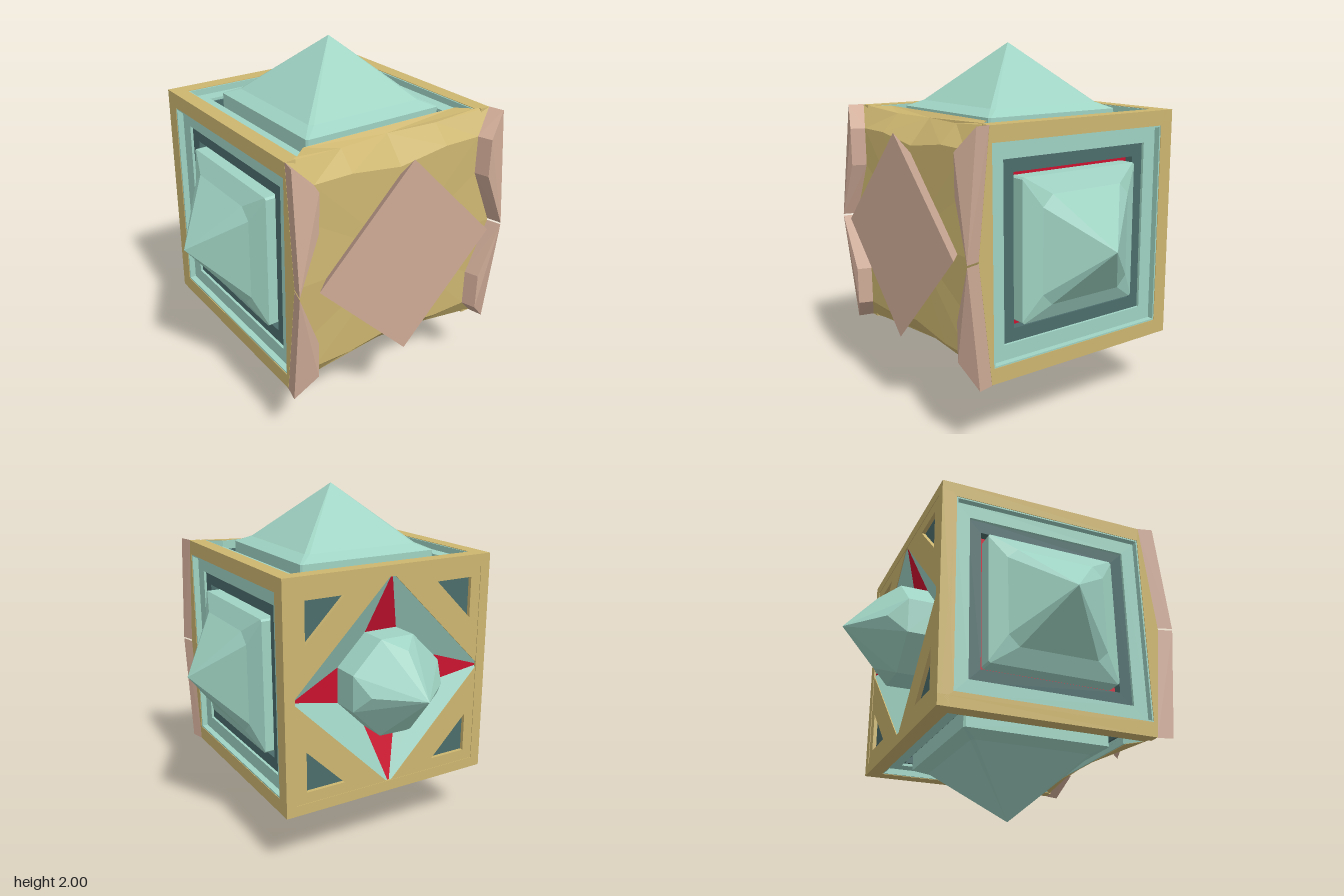
import * as THREE from 'three';
import { ConvexGeometry } from 'three/addons/geometries/ConvexGeometry.js';

const mat = (color) => new THREE.MeshStandardMaterial({ color, flatShading: true, side: THREE.DoubleSide });
const gold = mat(0xcdb670), teal = mat(0x9fd3c3), dark = mat(0x4b6c6b), red = mat(0xcc1230), clay = mat(0xcfab97);
const V = (x, y, z) => new THREE.Vector3(x, y, z);
const P = (list) => list.map(([x, y]) => new THREE.Vector2(x, y));
const square = (h) => P([[-h, -h], [h, -h], [h, h], [-h, h]]);
const SIGNS = [[1, 1], [-1, 1], [-1, -1], [1, -1]];
const CENTRE_Z = 0.127, HALF = 0.643;

function add(parent, name, geometry, material) {
  const mesh = new THREE.Mesh(geometry, material);
  mesh.name = name;
  parent.add(mesh);
  return mesh;
}

// Flat plate with holes whose outer surface lies at height w
function plate(outer, holes, w, depth) {
  const shape = new THREE.Shape(outer);
  holes.forEach((h) => shape.holes.push(new THREE.Path(h)));
  return new THREE.ExtrudeGeometry(shape, { depth, bevelEnabled: false }).translate(0, 0, w - depth);
}

function triangles(list) {
  const g = new THREE.BufferGeometry().setFromPoints(list.flat());
  g.computeVertexNormals();
  return g;
}

// Group whose local +z points outward from one face of the cube
function faceGroup(name, normal, up) {
  const g = new THREE.Group();
  g.name = name;
  const m = new THREE.Matrix4().makeBasis(up.clone().cross(normal), up, normal);
  g.quaternion.setFromRotationMatrix(m);
  g.position.set(0, 1, CENTRE_Z);
  return g;
}

// Pyramid with chamfered corners and a flared foot; rings are [half, cut, height]
function pyramid(rings, apex) {
  const loops = rings.map(([h, c, w]) => [
    [h, c - h], [h, h - c], [h - c, h], [c - h, h], [-h, h - c], [-h, c - h], [c - h, -h], [h - c, -h],
  ].map(([x, y]) => V(x, y, w)));
  const top = V(0, 0, apex), tris = [];
  for (let i = 0; i < 8; i++) {
    const j = (i + 1) % 8;
    for (let k = 0; k < loops.length - 1; k++) {
      const a = loops[k], b = loops[k + 1];
      tris.push([a[i], a[j], b[j]], [a[i], b[j], b[i]]);
    }
    const last = loops[loops.length - 1];
    tris.push([last[i], last[j], top]);
  }
  return triangles(tris);
}

// Stepped square frame with a pyramid in its middle
function pyramidFace(name, normal, o) {
  const g = faceGroup(name, normal, V(0, 0, 1));
  const outer = P([[-HALF, -HALF], [HALF, -HALF], [HALF, 0.573], ...o.edge, [-HALF, 0.573]]);
  const hole = P(o.hole);
  const rim = plate(outer, [hole], HALF, 0.06);
  // The front edge dips where the front panel rolls over it
  const p = rim.attributes.position;
  for (let i = 0; i < p.count; i++) {
    if (o.dip && p.getY(i) > 0.5 && Math.abs(p.getX(i)) < 0.4) p.setZ(i, Math.min(p.getZ(i), HALF - o.dip));
  }
  rim.computeVertexNormals();
  add(g, 'goldRim', rim, gold);
  add(g, 'rimLiner', plate(hole, [hole.map((q) => q.clone().multiplyScalar(0.985))], 0.64, 0.06), teal);
  add(g, 'tealStep', plate(hole, [square(0.47)], 0.605, 0.05), teal);
  add(g, 'darkStep', plate(square(0.478), [square(o.slot)], 0.59, 0.08), dark);
  add(g, 'redFloor', plate(square(o.slot + 0.01), [], 0.54, 0.02), red);
  add(g, 'pyramid', pyramid([[o.base, 0.01, 0.53], [o.base, 0.01, o.foot], [o.mid, o.cut, 0.68]], o.apex), teal);
  return g;
}

// Back: gold panel, corner windows, sunken star and faceted gem
function backFace() {
  const g = faceGroup('back', V(0, 0, -1), V(0, 1, 0));
  const diamond = P([[0.6, 0], [0, 0.6], [-0.6, 0], [0, -0.6]]);
  const windows = SIGNS.map(([x, y]) => P([[0.52 * x, 0.52 * y], [0.29 * x, 0.52 * y], [0.52 * x, 0.29 * y]]));
  add(g, 'backPanel', plate(square(HALF), [diamond, ...windows], HALF - 0.003, 0.06), gold);
  windows.forEach((w) => add(g, 'cornerWindow', plate(w, [], HALF - 0.025, 0.02), dark));
  for (let i = 0; i < 4; i++) {
    const arm = new THREE.Group();
    arm.name = 'starArm';
    arm.rotation.z = i * Math.PI / 2;
    const tip = V(0.6, 0, 0.635), next = V(0, 0.6, 0.635);
    const a = V(0.27, -0.1, 0.53), b = V(0.27, 0.1, 0.53), c = V(0.1, 0.27, 0.53);
    add(arm, 'starPoint', triangles([[tip, b, a]]), red);
    add(arm, 'starSlope', triangles([[tip, next, c], [tip, c, b]]), teal);
    g.add(arm);
  }
  const pts = [V(0, 0, 0.985)];
  SIGNS.forEach(([x, y]) => [0.5, 0.69].forEach((w) =>
    pts.push(V(0.27 * x, 0.1 * y, w), V(0.1 * x, 0.27 * y, w))));
  [[1, 0], [0, 1], [-1, 0], [0, -1]].forEach(([x, y]) => pts.push(V(0.22 * x, 0.22 * y, 0.792)));
  add(g, 'gem', new ConvexGeometry(pts), teal);
  return g;
}

// Front: bulging gold panel, diamond plate and four corner guards
function frontFace() {
  const g = new THREE.Group();
  g.name = 'front';
  g.position.y = 1;
  const pt = {
    O: [0, 0, 0.77], D: [HALF, 0, 0.77], C: [0.52, 0.31, 0.757], P: [0.52, 0.52, 0.757], Q: [0.3, 0.52, 0.757],
    R: [0, 0.48, 0.757], A: [HALF, HALF, 0.7], E: [0.3, 0.618, 0.662], T: [0, 0.618, 0.637],
  };
  const faces = ['ODC', 'OCP', 'OPQ', 'OQR', 'DAC', 'CAP', 'PAE', 'PEQ', 'QET', 'QTR'];
  const tris = [];
  SIGNS.forEach(([sx, sy]) => {
    faces.forEach((f) => {
      const t = [...f].map((k) => V(pt[k][0] * sx, pt[k][1] * sy, pt[k][2]));
      tris.push(sx * sy > 0 ? t : t.reverse());
    });
    const guard = [
      [0.662, 0.645, 0.785], [0.545, 0.52, 0.835], [0.545, 0.31, 0.835], [0.665, 0.005, 0.85],
      [0.642, 0.645, 0.7], [0.52, 0.52, 0.755], [0.52, 0.31, 0.755], [0.642, 0.005, 0.768],
    ].map(([x, y, z]) => V(x * sx, y * sy, z));
    add(g, 'cornerGuard', new ConvexGeometry(guard), clay);
  });
  add(g, 'frontPanel', triangles(tris), gold);
  const d = add(g, 'diamondPlate', new THREE.CylinderGeometry(0.555, 0.44, 0.1, 4), clay);
  d.rotation.x = Math.PI / 2;
  d.position.z = 0.805;
  return g;
}

export function createModel() {
  const model = new THREE.Group();
  model.name = 'ornateCube';
  const vertical = {
    edge: [[0.3, 0.535], [0, 0.51], [-0.3, 0.535]], dip: 0.025,
    hole: [[-0.56, -0.56], [0.56, -0.56], [0.56, 0.55], [0.48, 0.478], [-0.48, 0.478], [-0.56, 0.55]],
    slot: 0.455, base: 0.42, foot: 0.645, mid: 0.35, cut: 0.02, apex: 1,
  };
  const lateral = {
    edge: [[0, HALF]], dip: 0,
    hole: [[-0.56, -0.56], [0.56, -0.56], [0.56, 0.56], [-0.56, 0.56]],
    slot: 0.4, base: 0.375, foot: 0.63, mid: 0.285, cut: 0.06, apex: 0.91,
  };
  model.add(pyramidFace('top', V(0, 1, 0), vertical), pyramidFace('bottom', V(0, -1, 0), vertical));
  model.add(pyramidFace('left', V(1, 0, 0), lateral), pyramidFace('right', V(-1, 0, 0), lateral));
  model.add(backFace(), frontFace());
  return model;
}
